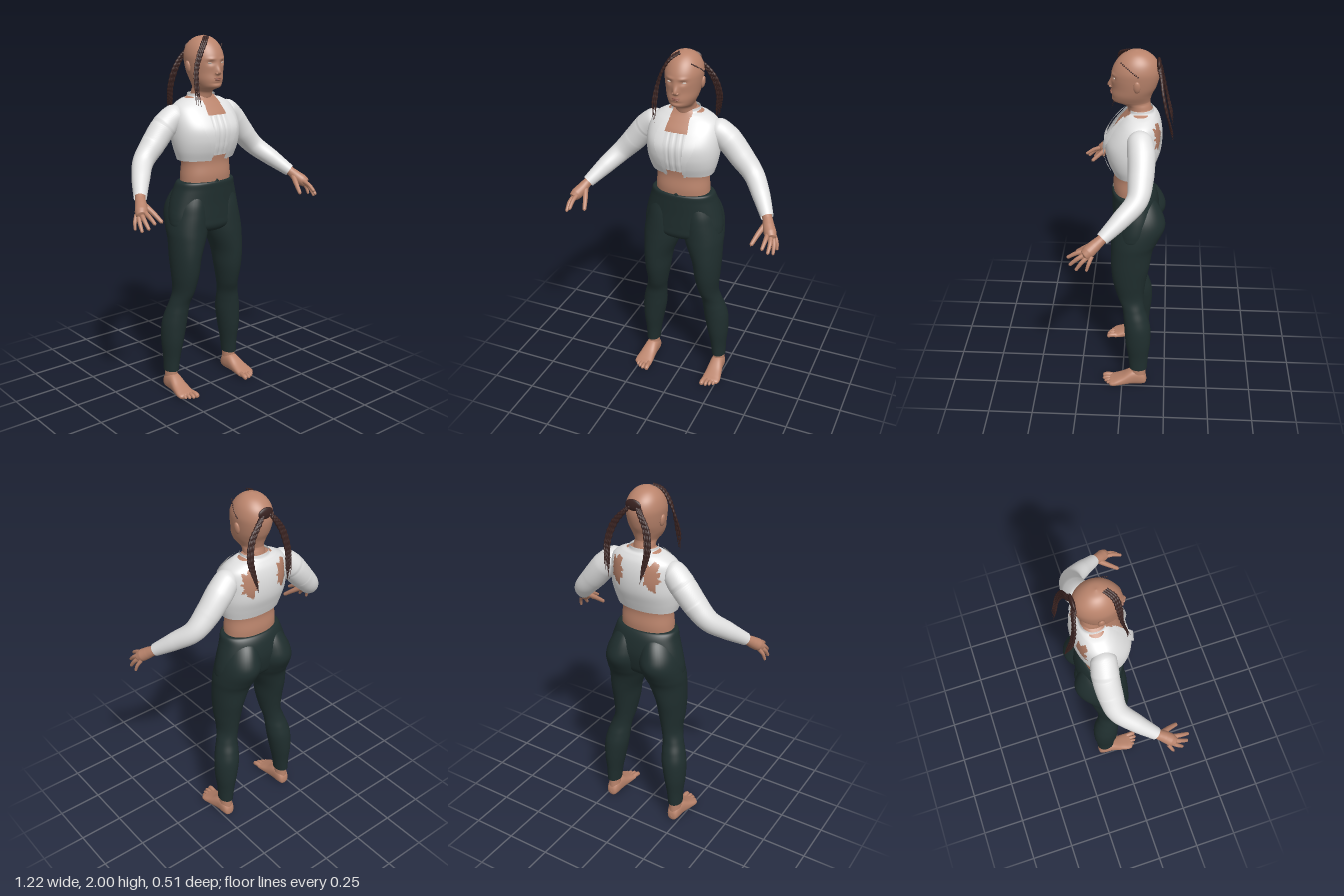
import * as THREE from 'three';

const mat = (name, color, side = THREE.FrontSide) => {
  const m = new THREE.MeshStandardMaterial({ color, side });
  m.name = name;
  return m;
};

// Closed-ring surface: fn(angle, t) gives a point; keep() can cut openings.
function grid(nu, nv, fn, keep) {
  const pos = [], idx = [];
  for (let j = 0; j <= nv; j++)
    for (let i = 0; i < nu; i++) pos.push(...fn((i / nu) * Math.PI * 2, j / nv));
  const mid = (a, b, k) => (pos[a * 3 + k] + pos[b * 3 + k]) / 2;
  for (let j = 0; j < nv; j++)
    for (let i = 0; i < nu; i++) {
      const a = j * nu + i, b = j * nu + ((i + 1) % nu), c = b + nu, d = a + nu;
      if (keep && !keep(mid(a, c, 0), mid(a, c, 1), mid(a, c, 2))) continue;
      idx.push(a, b, c, a, c, d);
    }
  const g = new THREE.BufferGeometry();
  g.setAttribute('position', new THREE.Float32BufferAttribute(pos, 3));
  g.setIndex(idx);
  g.computeVertexNormals();
  return g;
}

// Upright loft through rows [y, centreX, halfWidth, frontZ, backZ].
function loft(rows, { nu = 40, nv = 60, power = 2, keep, sculpt } = {}) {
  const spline = new THREE.CubicInterpolant(rows.map((_, i) => i), rows.flat(), 5);
  const bend = (v) => Math.sign(v) * Math.abs(v) ** (2 / power);
  return grid(nu, nv, (a, t) => {
    const [y, cx, rx, zf, zb] = spline.evaluate(t * (rows.length - 1));
    const p = [cx + rx * bend(Math.sin(a)), y, (zf + zb) / 2 + ((zf - zb) / 2) * bend(Math.cos(a))];
    if (sculpt) p[2] += sculpt(...p);
    return p;
  }, keep);
}

// Tube with a radius for each path point.
function limb(points, radii, { nu = 20, nv = 40, ref = [0.7, 0.7, 0], ripple = 0 } = {}) {
  const curve = new THREE.CatmullRomCurve3(points.map((p) => new THREE.Vector3(...p)));
  const r = new THREE.Vector3(...ref);
  return grid(nu, nv, (a, t) => {
    const T = curve.getTangent(t), N = r.clone().cross(T).normalize(), B = T.clone().cross(N);
    const f = t * (radii.length - 1), i = Math.min(Math.floor(f), radii.length - 2);
    const rad = THREE.MathUtils.lerp(radii[i], radii[i + 1], f - i) * (1 + ripple * Math.sin(t * 110));
    return curve.getPoint(t).addScaledVector(N, rad * Math.cos(a)).addScaledVector(B, rad * Math.sin(a)).toArray();
  });
}

const gauss = (v, w) => Math.exp(-((v / w) ** 2));

export function createModel() {
  const root = new THREE.Group();
  const skin = mat('skin', 0xba846c), cloth = mat('white cloth', 0xe2e2e2, THREE.DoubleSide);
  const trousers = mat('dark green trousers', 0x1f2e2e, THREE.DoubleSide);
  const hair = mat('dark brown hair', 0x3a2321), lip = mat('lips', 0x9a6253), eyeMat = mat('eyes', 0xcfc2b8);
  const add = (name, geo, m) => {
    const mesh = new THREE.Mesh(geo, m);
    mesh.name = name;
    root.add(mesh);
    return mesh;
  };
  const blob = (name, m, p, s, rz = 0) => {
    const mesh = add(name, new THREE.SphereGeometry(1, 24, 16), m);
    mesh.position.set(...p);
    mesh.scale.set(...s);
    mesh.rotation.z = rz;
  };

  // Head and neck, with nose and eye sockets pressed in
  add('head', loft([
    [1.63, 0, 0.066, -0.035, -0.155], [1.67, 0, 0.058, -0.025, -0.148], [1.705, 0, 0.055, -0.012, -0.14],
    [1.722, 0, 0.056, 0.025, -0.136], [1.735, 0, 0.063, 0.058, -0.136], [1.77, 0, 0.08, 0.063, -0.146],
    [1.81, 0, 0.09, 0.06, -0.166], [1.86, 0, 0.097, 0.063, -0.18], [1.9, 0, 0.098, 0.057, -0.181],
    [1.94, 0, 0.087, 0.037, -0.168], [1.97, 0, 0.067, 0.01, -0.142], [1.99, 0, 0.04, -0.022, -0.108],
    [2, 0, 0, -0.062, -0.062],
  ], {
    nu: 96, nv: 110,
    sculpt: (x, y, z) => z < 0 ? 0 :
      0.023 * gauss(x, 0.014) * gauss(y - 1.811, y > 1.811 ? 0.03 : 0.01) +
      0.005 * gauss(Math.abs(x) - 0.035, 0.022) * gauss(y - 1.882, 0.008) -
      0.008 * gauss(Math.abs(x) - 0.037, 0.017) * gauss(y - 1.862, 0.013) -
      0.005 * gauss(x, 0.03) * gauss(y - 1.755, 0.007),
  }), skin);
  blob('upperLip', lip, [0, 1.781, 0.061], [0.023, 0.005, 0.008]);
  blob('lowerLip', lip, [0, 1.773, 0.06], [0.02, 0.006, 0.009]);

  // Bare torso
  add('torso', loft([
    [1.15, 0, 0.15, 0.04, -0.14], [1.25, 0, 0.15, 0.055, -0.153], [1.33, 0, 0.146, 0.05, -0.148],
    [1.4, 0, 0.17, 0.06, -0.163], [1.5, 0, 0.189, 0.072, -0.189], [1.58, 0, 0.183, 0.045, -0.188],
    [1.63, 0, 0.163, 0.007, -0.175], [1.662, 0, 0.115, -0.02, -0.156], [1.69, 0, 0.055, -0.035, -0.14],
  ], { nu: 64, power: 2.2 }), skin);

  // Cropped top under the open jacket, softly pleated
  add('croppedTop', loft([
    [1.372, 0, 0.165, 0.066, -0.15], [1.43, 0, 0.18, 0.084, -0.16],
    [1.51, 0, 0.189, 0.089, -0.16], [1.588, 0, 0.183, 0.056, -0.16],
  ], {
    nu: 192, nv: 30, power: 2.2, keep: (x, y, z) => Math.abs(x) < 0.1 && z > 0,
    sculpt: (x) => -0.006 * (gauss(x, 0.003) + gauss(Math.abs(x) - 0.035, 0.003)),
  }), cloth);

  // Jacket shell: open front, torn patches on the back
  const jacket = [
    [1.345, 0, 0.173, 0.058, -0.155], [1.4, 0, 0.19, 0.082, -0.175], [1.46, 0, 0.2, 0.097, -0.195],
    [1.52, 0, 0.201, 0.095, -0.202], [1.58, 0, 0.196, 0.062, -0.199], [1.63, 0, 0.176, 0.022, -0.187],
    [1.662, 0, 0.128, -0.008, -0.168], [1.676, 0, 0.082, -0.02, -0.155], [1.695, 0, 0.075, -0.022, -0.15],
  ];
  const edge = (y) => 0.05 + 0.014 * gauss(y - 1.58, 0.1);
  const torn = (x, y) => {
    const a = Math.atan2(y - 1.57, Math.abs(x) - 0.103);
    const d = Math.hypot((Math.abs(x) - 0.103) / 0.038, (y - 1.57) / 0.075);
    return d < 1 + 0.16 * Math.sin(a * 7 + x * 9) + 0.1 * Math.sin(a * 13);
  };
  add('jacket', loft(jacket, {
    nu: 200, nv: 90, power: 2.2,
    keep: (x, y, z) => z > -0.08 ? Math.abs(x) > edge(y) : !torn(x, y),
  }), cloth);
  add('lapels', loft(jacket.slice(0, 7).map(([y, c, r, f, b]) => [y, c, r + 0.006, f + 0.012, b]), {
    nu: 240, nv: 60, power: 2.2,
    keep: (x, y, z) => z > -0.06 && Math.abs(x) > edge(y) - 0.003 &&
      Math.abs(x) < edge(y) + 0.012 + 0.04 * gauss(y - 1.54, 0.09),
  }), cloth);

  // Hips and waistband
  add('hips', loft([
    [0.925, 0, 0.02, -0.02, -0.08], [0.945, 0, 0.12, 0.035, -0.13], [0.975, 0, 0.215, 0.058, -0.165],
    [1.02, 0, 0.228, 0.06, -0.183], [1.1, 0, 0.214, 0.06, -0.195], [1.18, 0, 0.189, 0.062, -0.183],
    [1.222, 0, 0.174, 0.061, -0.162], [1.226, 0, 0.14, 0.04, -0.14],
  ], { nu: 64, power: 2.1 }), trousers);
  const notch = add('waistPoint', new THREE.ConeGeometry(0.025, 0.026, 4), trousers);
  notch.position.set(0, 1.229, 0.056);
  notch.scale.z = 0.3;

  for (const s of [1, -1]) {
    const side = s > 0 ? 'left' : 'right';
    const flip = (pts) => pts.map(([x, y, z]) => [x * s, y, z]);
    const flipRows = (rows) => rows.map(([y, cx, ...r]) => [y, cx * s, ...r]);

    // Face details
    blob(side + 'Eye', eyeMat, [0.037 * s, 1.861, 0.041], [0.015, 0.005, 0.009], 0.08 * s);
    blob(side + 'Ear', skin, [0.098 * s, 1.838, -0.07], [0.011, 0.032, 0.018], -0.15 * s);
    blob(side + 'Nostril', skin, [0.011 * s, 1.808, 0.064], [0.008, 0.007, 0.011]);

    // Trouser leg, rising into the seat
    add(side + 'Leg', loft(flipRows([
      [0.118, 0.215, 0.04, -0.045, -0.147], [0.2, 0.211, 0.046, -0.037, -0.152], [0.3, 0.206, 0.061, -0.021, -0.163],
      [0.4, 0.196, 0.07, -0.013, -0.162], [0.47, 0.186, 0.066, -0.008, -0.146], [0.53, 0.174, 0.059, 0, -0.127],
      [0.6, 0.158, 0.058, 0.027, -0.12], [0.7, 0.152, 0.072, 0.053, -0.131], [0.8, 0.147, 0.083, 0.063, -0.15],
      [0.9, 0.128, 0.104, 0.064, -0.167], [0.96, 0.118, 0.114, 0.062, -0.195], [1.04, 0.108, 0.112, 0.058, -0.23],
      [1.11, 0.1, 0.1, 0.05, -0.216], [1.18, 0.085, 0.075, 0.03, -0.175], [1.215, 0.08, 0.03, -0.02, -0.12],
    ]), { nv: 100 }), trousers);

    // Ankle, foot and toes
    add(side + 'Ankle', loft(flipRows([
      [0.03, 0.215, 0.036, -0.05, -0.14], [0.09, 0.215, 0.034, -0.055, -0.138], [0.15, 0.215, 0.034, -0.055, -0.138],
    ]), { nv: 10 }), skin);
    add(side + 'Foot', loft(flipRows([
      [-0.146, 0.215, 0, -0.03, -0.03], [-0.138, 0.215, 0.026, -0.006, -0.065], [-0.11, 0.215, 0.037, 0, -0.1],
      [-0.06, 0.216, 0.04, 0, -0.1], [0, 0.22, 0.048, 0, -0.064], [0.045, 0.222, 0.053, 0, -0.042],
      [0.072, 0.219, 0.046, -0.003, -0.03], [0.082, 0.217, 0, -0.015, -0.015],
    ]), { power: 2.4 }).rotateX(Math.PI / 2), skin);
    [[0.181, 0.117, 0.014], [0.206, 0.116, 0.0105], [0.227, 0.106, 0.01], [0.246, 0.092, 0.0095], [0.263, 0.073, 0.009]]
      .forEach(([x, z, r], i) => add(`${side}Toe${i + 1}`, limb(
        flip([[x * 0.9 + 0.022, 0.022, z - 0.06], [x, 0.021, z - 0.025], [x, 0.014, z - 0.007], [x, 0.012, z]]),
        [r, r, r * 0.9, 0], { nu: 12, nv: 16 }), skin));

    // Sleeve
    add(side + 'Sleeve', limb(flip([
      [0.13, 1.585, -0.09], [0.175, 1.58, -0.09], [0.235, 1.53, -0.1], [0.31, 1.443, -0.1],
      [0.385, 1.362, -0.085], [0.455, 1.29, -0.008], [0.52, 1.218, 0.08],
    ]), [0.035, 0.066, 0.071, 0.066, 0.056, 0.048, 0.034], { nu: 32, nv: 70 }), cloth);

    // Hand: wrist and palm, then fingers
    add(side + 'Palm', limb(flip([
      [0.5, 1.24, 0.055], [0.525, 1.212, 0.088], [0.541, 1.188, 0.118], [0.559, 1.167, 0.145], [0.572, 1.152, 0.165], [0.575, 1.148, 0.172],
    ]), [0.027, 0.026, 0.031, 0.033, 0.026, 0], { nu: 24 }), skin);
    [
      ['Thumb', [0.522, 1.192, 0.11], [0.5, 1.155, 0.16], [0.479, 1.108, 0.217], 0.0135],
      ['IndexFinger', [0.55, 1.168, 0.155], [0.553, 1.152, 0.205], [0.55, 1.12, 0.257], 0.0115],
      ['MiddleFinger', [0.565, 1.16, 0.152], [0.577, 1.135, 0.198], [0.578, 1.094, 0.243], 0.0115],
      ['RingFinger', [0.576, 1.152, 0.145], [0.592, 1.122, 0.178], [0.598, 1.077, 0.21], 0.011],
      ['LittleFinger', [0.577, 1.152, 0.128], [0.597, 1.118, 0.143], [0.605, 1.078, 0.156], 0.0095],
    ].forEach(([name, a, b, c, r]) => {
      const near = b.map((v, k) => v + (c[k] - v) * 0.88);
      add(side + name, limb(flip([a, b, near, c]), [r * 1.15, r, r * 0.75, 0], { nu: 12, nv: 24 }), skin);
    });

    // Braids falling from the back of the head, laid flat side by side
    for (let k = 0; k < 4; k++) {
      const o = k * 0.009, w = s > 0 ? 1 : 0.75;
      add(side + 'BackBraid', limb(flip([
        [0.002 + o, 1.945 - o, -0.171], [0.04 * w + o, 1.9 - o * 0.5, -0.187], [0.095 * w + o, 1.82, -0.2],
        [0.12 * w + o, 1.72, -0.222], [0.112 * w + o * 0.9, 1.63 + o, -0.24], [0.108 * w + o * 0.8, 1.55 + o * 2, -0.258],
      ]), [0.007, 0.008, 0.007, 0.006, 0.005, 0], { nu: 8, nv: 70, ref: [0, 0, 1], ripple: 0.2 }), hair);
    }
  }
  blob('hairKnot', hair, [0.005, 1.93, -0.176], [0.045, 0.03, 0.012]);

  // Front braid from the crown past the right temple
  for (let k = 0; k < 3; k++) {
    const o = k * 0.01;
    add('frontBraid', limb([
      [-0.008 - o * 0.4, 1.993, -0.015 - o], [-0.045 - o * 0.4, 1.968, 0.018 - o], [-0.085 - o * 0.3, 1.905, 0.03 - o],
      [-0.108 - o * 0.6, 1.83, 0.028 - o * 0.4], [-0.115 - o, 1.74, 0.042], [-0.116 - o, 1.63 + o, 0.07 - o],
    ], [0.006, 0.007, 0.007, 0.006, 0.005, 0], { nu: 8, nv: 70, ref: [0, 0, 1], ripple: 0.2 }), hair);
  }
  // Row of small hair tufts at the left hairline
  for (let k = 0; k < 11; k++) {
    const t = k / 10;
    blob('hairTuft', hair, [0.066 + 0.032 * Math.sin(t * 1.57), 1.953 - 0.06 * t, 0.01 - 0.085 * t], [0.004, 0.004, 0.004]);
  }
  return root;
}
